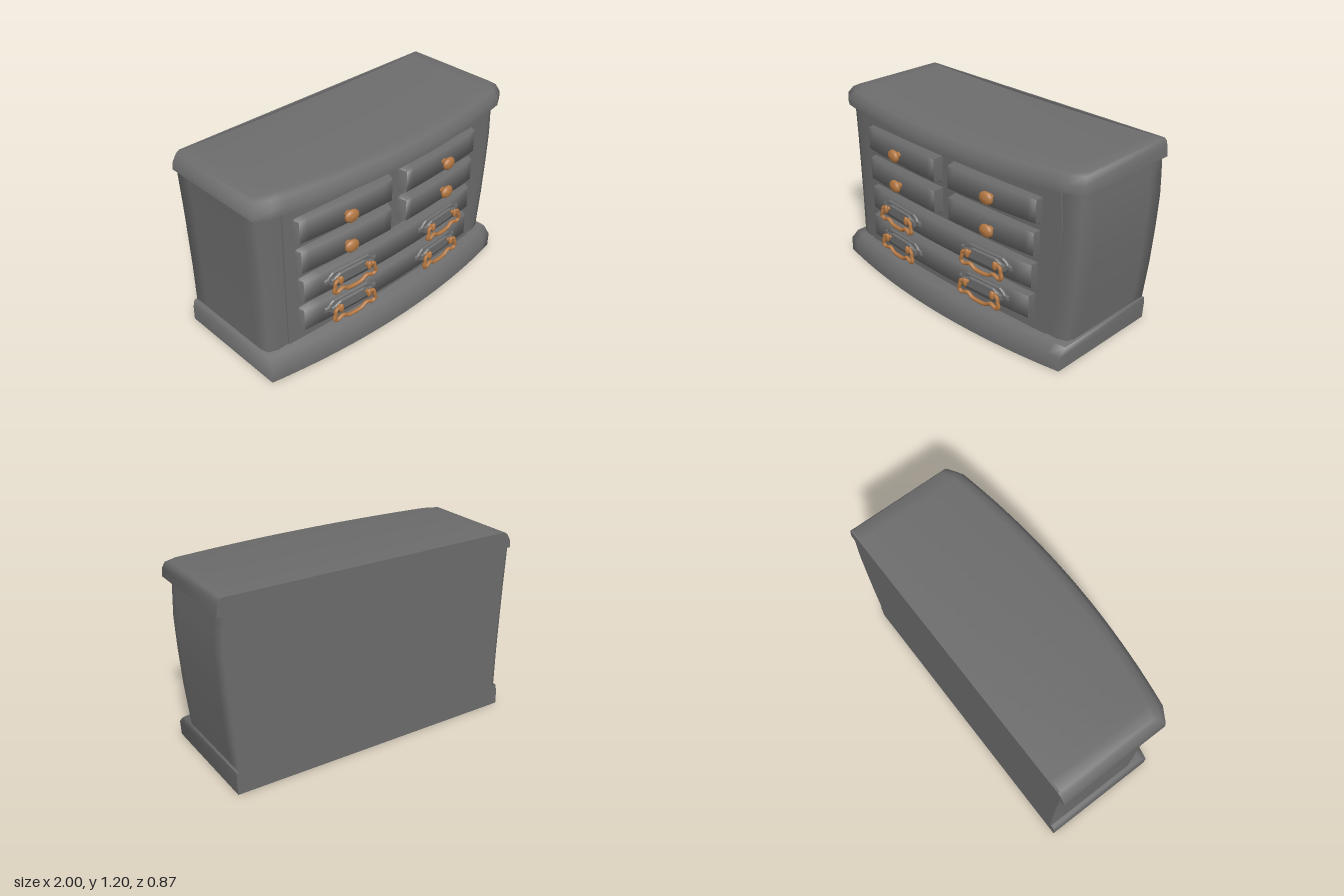
import * as THREE from 'three';
import { toCreasedNormals } from 'three/addons/utils/BufferGeometryUtils.js';

const grey = new THREE.MeshStandardMaterial({ color: 0x6c6c6c });
const copper = new THREE.MeshStandardMaterial({ color: 0xb47843 });
const BACK = -0.435;

function add(parent, name, geometry, material, x = 0, y = 0, z = 0) {
  const mesh = new THREE.Mesh(geometry, material);
  mesh.name = name;
  mesh.position.set(x, y, z);
  parent.add(mesh);
  return mesh;
}

// Solid from stacked levels; each level is a row of columns [x, y, zFront, zBack], left to right.
function loft(levels, crease, capped = true) {
  const n = levels[0].length, ring = 2 * n, pos = [], idx = [];
  for (const cols of levels) {
    for (const [x, y, zf] of cols) pos.push(x, y, zf);
    for (const [x, y, , zb] of [...cols].reverse()) pos.push(x, y, zb);
  }
  for (let j = 0; j < levels.length - 1; j++) {
    for (let k = 0; k < ring; k++) {
      const a = j * ring + k, b = j * ring + (k + 1) % ring;
      idx.push(a, b, b + ring, a, b + ring, a + ring);
    }
  }
  const top = (levels.length - 1) * ring;
  for (let i = 0; capped && i < n - 1; i++) {
    const f = i, g = i + 1, h = ring - 2 - i, b = ring - 1 - i;
    idx.push(top + f, top + g, top + h, top + f, top + h, top + b);
    idx.push(f, h, g, f, b, h);
  }
  const geo = new THREE.BufferGeometry();
  geo.setAttribute('position', new THREE.Float32BufferAttribute(pos, 3));
  geo.setIndex(idx);
  return toCreasedNormals(geo, crease);
}

// Bow-fronted level for the base and the top board; cut trims the front corners
function bowLevel(y, left, right, front, sag = 0, cut = 0) {
  return Array.from({ length: 25 }, (_, i) => {
    const x = THREE.MathUtils.lerp(-left, right, i / 24);
    const trim = i === 0 || i === 24 ? cut : 0;
    return [x, y - sag * (1 - x * x), front - 0.105 * x * x - trim, BACK];
  });
}

// Cabinet level: soft front corners and square back corners
function bodyLevel([y, left, right, innerRight]) {
  const innerLeft = 0.81, front = x => 0.297 - 0.045 * x * x, cols = [];
  cols.push([-left, y, 0.14, -0.33], [-left, y, 0.2, BACK], [-left + 0.015, y, 0.245, BACK], [-left + 0.07, y, 0.268, BACK]);
  for (let i = 0; i <= 10; i++) {
    const x = THREE.MathUtils.lerp(-innerLeft, innerRight, i / 10);
    cols.push([x, y, front(x), BACK]);
  }
  cols.push([right - 0.07, y, 0.268, BACK], [right - 0.015, y, 0.245, BACK], [right, y, 0.2, BACK], [right, y, 0.14, -0.33]);
  return cols;
}

// Front panel level, standing slightly proud between the corners
function panelLevel([y, , , innerRight]) {
  return Array.from({ length: 13 }, (_, i) => {
    const x = THREE.MathUtils.lerp(-0.81, innerRight, i / 12);
    return [x, y, 0.306 - 0.045 * x * x, 0.2];
  });
}

// Drawer front: bowed panel with sloping edges all round
const drawerFace = x => 0.36 - 0.08 * x * x;
function drawerGeometry(x0, x1, y0, y1) {
  const level = (y, raised) => {
    const cols = [[x0, y, drawerFace(x0) - 0.06, 0.22]];
    for (let i = 0; i <= 12; i++) {
      const x = THREE.MathUtils.lerp(x0 + 0.02, x1 - 0.02, i / 12);
      cols.push([x, y, drawerFace(x) - (raised ? 0 : 0.06), 0.22]);
    }
    cols.push([x1, y, drawerFace(x1) - 0.06, 0.22]);
    return cols;
  };
  return loft([level(y0, false), level(y0 + 0.015, true), level(y1 - 0.015, true), level(y1, false)], 1.4);
}

// Group set on the drawer surface, turned to follow the bow
function mount(parent, name, x, y) {
  const group = new THREE.Group();
  group.name = name;
  group.position.set(x, y, drawerFace(x));
  group.rotation.y = Math.atan(0.16 * x);
  parent.add(group);
  return group;
}

// Round knob on a short stem, turned about its axis
function addKnob(parent, x, y) {
  const profile = [[0.022, -0.01], [0.02, 0.005], [0.02, 0.017], [0.034, 0.021], [0.045, 0.033],
    [0.042, 0.046], [0.028, 0.056], [0, 0.06]].map(p => new THREE.Vector2(...p));
  const geo = new THREE.LatheGeometry(profile, 20).rotateX(Math.PI / 2).scale(1.1, 0.9, 1);
  add(mount(parent, 'knob', x, y), 'knobTurning', geo, copper);
}

// Shaped backplate with half-width w and half-height h
function plateGeometry(w, h, depth) {
  const quarter = [[w, 0.014], [w - 0.025, 0.018], [w - 0.04, h * 0.7], [w - 0.065, h]];
  const turned = [...quarter].reverse();
  const pts = [
    ...quarter,
    ...turned.map(([x, y]) => [-x, y]),
    ...quarter.map(([x, y]) => [-x, -y]),
    ...turned.map(([x, y]) => [x, -y]),
  ].map(p => new THREE.Vector2(...p));
  return new THREE.ExtrudeGeometry(new THREE.Shape(pts), {
    depth, bevelEnabled: true, bevelThickness: 0.008, bevelSize: 0.006, bevelOffset: -0.006, bevelSegments: 1,
  });
}

// Drop handle: stepped plate, two posts and a swinging wavy bail
function addDropHandle(parent, x, y) {
  const g = mount(parent, 'dropHandle', x, y);
  add(g, 'backplate', plateGeometry(0.195, 0.05, 0.008), grey, 0, 0, -0.004);
  add(g, 'raisedPlate', plateGeometry(0.155, 0.036, 0.012), grey, 0, 0, 0.008);
  for (const s of [-1, 1]) {
    add(g, 'post', new THREE.CylinderGeometry(0.011, 0.015, 0.04, 12).rotateX(Math.PI / 2), copper, s * 0.107, 0.008, 0.035);
    add(g, 'postTip', new THREE.SphereGeometry(0.02, 14, 10).scale(0.9, 1.5, 0.6), copper, s * 0.107, 0.008, 0.052);
  }
  const half = [[0.107, 0.012, 0.045], [0.143, 0.008, 0.048], [0.15, -0.022, 0.05], [0.157, -0.054, 0.049],
    [0.137, -0.07, 0.047], [0.09, -0.057, 0.045], [0.05, -0.08, 0.043]];
  const pts = [...half, ...[...half].reverse().map(([px, py, pz]) => [-px, py, pz])];
  const curve = new THREE.CatmullRomCurve3(pts.map(p => new THREE.Vector3(...p)));
  add(g, 'bail', new THREE.TubeGeometry(curve, 72, 0.012, 8), copper);
}

export function createModel() {
  const model = new THREE.Group();
  model.name = 'chestOfDrawers';

  // Base plinth with a sloped front lip
  add(model, 'base', loft([
    bowLevel(0, 0.99, 0.935, 0.435), bowLevel(0.095, 0.988, 0.94, 0.435), bowLevel(0.143, 0.975, 0.938, 0.388),
  ], 1.45), grey);

  // Cabinet: height, left half-width, right half-width, right inner corner
  const heights = [
    [0.13, 0.955, 0.92, 0.77], [0.4, 0.955, 0.95, 0.80], [0.65, 0.96, 0.968, 0.83],
    [0.85, 0.965, 0.977, 0.855], [0.98, 0.97, 0.972, 0.845], [1.11, 0.975, 0.965, 0.83],
  ];
  add(model, 'cabinet', loft(heights.map(bodyLevel), Math.PI, false), grey);
  add(model, 'frontPanel', loft(heights.map(panelLevel), 0.7), grey);

  // Overhanging top board, dipping in the middle
  add(model, 'topBoard', loft([
    bowLevel(1.097, 1, 1, 0.41, 0.018, 0.035), bowLevel(1.145, 0.992, 0.995, 0.41, 0.018, 0.035),
    bowLevel(1.188, 0.965, 0.985, 0.372, 0.016, 0.025), bowLevel(1.202, 0.945, 0.97, 0.325, 0.016, 0.02),
  ], 1.45), grey);
  add(model, 'backLip', new THREE.BoxGeometry(1.91, 0.08, 0.012), grey, 0.012, 1.161, BACK + 0.006);

  // Two rows of paired small drawers with knobs
  for (const [y0, y1, a, b, c, d] of [
    [0.828, 1.0, -0.75, -0.045, 0.035, 0.73], [0.623, 0.797, -0.745, -0.047, 0.038, 0.72],
  ]) {
    add(model, 'smallDrawer', drawerGeometry(a, b, y0, y1), grey);
    add(model, 'smallDrawer', drawerGeometry(c, d, y0, y1), grey);
    addKnob(model, -0.405, (y0 + y1) / 2 - 0.005);
    addKnob(model, 0.395, (y0 + y1) / 2 - 0.005);
  }

  // Two wide drawers with drop handles
  for (const [y0, y1, a, b, right] of [[0.415, 0.592, -0.737, 0.71, 0.367], [0.21, 0.386, -0.742, 0.697, 0.347]]) {
    add(model, 'wideDrawer', drawerGeometry(a, b, y0, y1), grey);
    addDropHandle(model, -0.392, (y0 + y1) / 2 + 0.002);
    addDropHandle(model, right, (y0 + y1) / 2 + 0.002);
  }
  return model;
}
